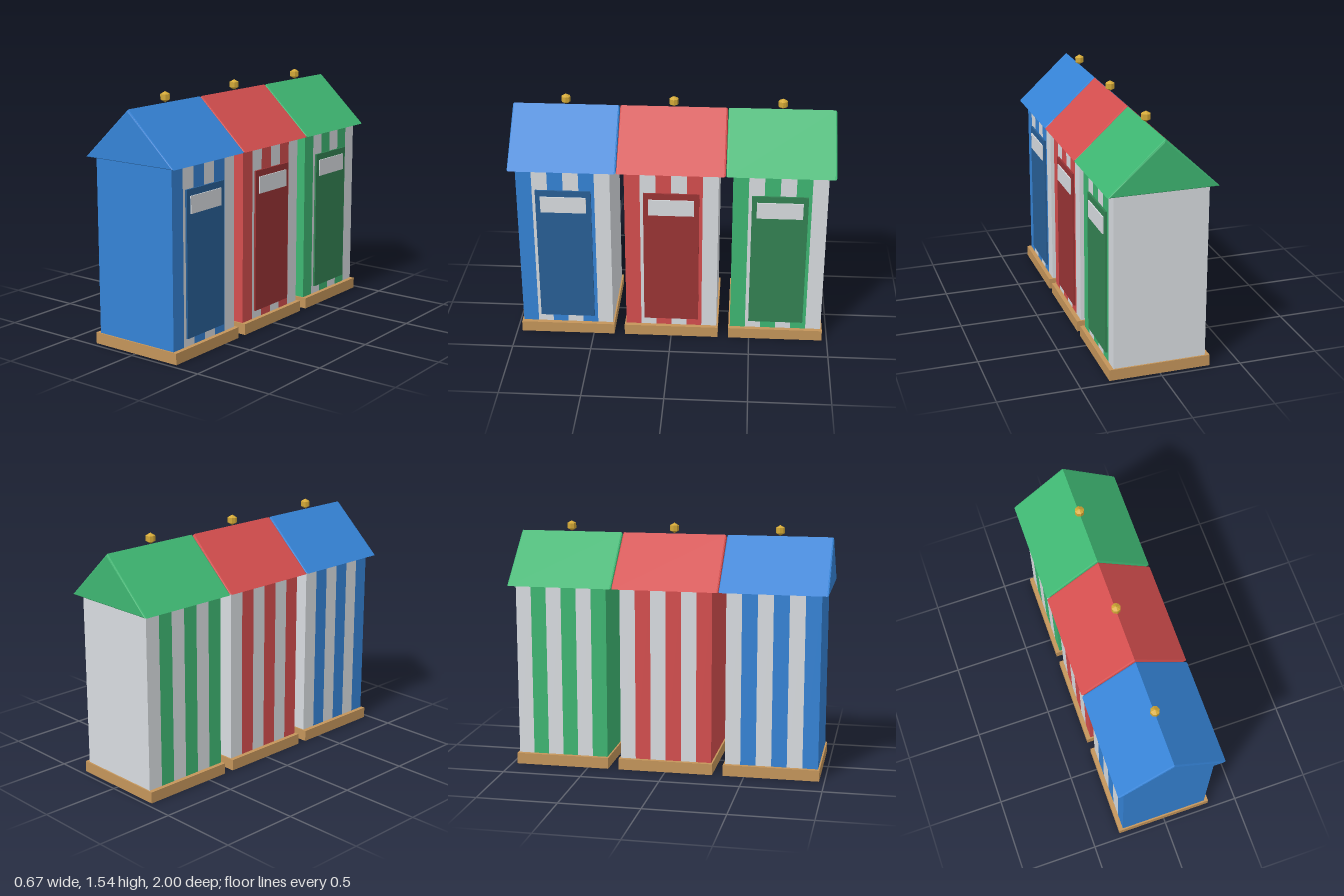
import * as THREE from 'three';

function material(name, color) {
  const m = new THREE.MeshStandardMaterial({ color });
  m.name = name;
  return m;
}

function addMesh(parent, name, geometry, mat, x = 0, y = 0, z = 0) {
  const mesh = new THREE.Mesh(geometry, mat);
  mesh.name = name;
  mesh.position.set(x, y, z);
  parent.add(mesh);
  return mesh;
}

// Solid gable roof with a small bevel, ridge running along z
function roofGeometry() {
  const bevel = 0.01, length = 0.664;
  const shape = new THREE.Shape();
  shape.moveTo(-0.322, 1.163);
  shape.lineTo(0.322, 1.163);
  shape.lineTo(0, 1.456);
  shape.closePath();
  const geometry = new THREE.ExtrudeGeometry(shape, {
    depth: length - 2 * bevel, bevelEnabled: true,
    bevelSize: bevel, bevelThickness: bevel, bevelSegments: 2,
  });
  return geometry.translate(0, 0, -length / 2 + bevel);
}

export function createModel() {
  const group = new THREE.Group();
  group.name = 'beachHuts';

  const white = material('white paint', 0xd8dce0);
  const wood = material('wood', 0xc4955a);
  const gold = material('gold', 0xd4a937);
  const huts = [
    { name: 'blue', z: 0.667, paint: 0x3583d6, door: 0x285f96 },
    { name: 'red', z: 0, paint: 0xd44e4e, door: 0x9a3435 },
    { name: 'green', z: -0.667, paint: 0x3eb672, door: 0x338253 },
  ];

  // Shared geometry
  const stripes = 6, stripeWidth = 0.58 / stripes;
  const base = new THREE.BoxGeometry(0.63, 0.07, 0.6);
  const plank = new THREE.BoxGeometry(0.575, 1.095, stripeWidth);
  const door = new THREE.BoxGeometry(0.02, 0.895, 0.345);
  const panel = new THREE.BoxGeometry(0.009, 0.106, 0.284);
  const roof = roofGeometry();
  const ball = new THREE.SphereGeometry(0.033, 8, 3).toNonIndexed();
  ball.computeVertexNormals();

  for (const { name, z, paint, door: doorColor } of huts) {
    const hut = new THREE.Group();
    hut.name = name + 'Hut';
    hut.position.z = z;
    group.add(hut);
    const paintMat = material(name + ' paint', paint);
    const doorMat = material(name + ' door paint', doorColor);

    addMesh(hut, 'base', base, wood, 0, 0.035, 0);

    // Striped walls, painted stripe first at the front
    for (let i = 0; i < stripes; i++) {
      addMesh(hut, 'wallStripe', plank, i % 2 ? white : paintMat,
        0, 0.6175, 0.29 - stripeWidth * (i + 0.5));
    }

    // Door and its light panel
    addMesh(hut, 'door', door, doorMat, 0.29, 0.5675, 0);
    addMesh(hut, 'doorPanel', panel, white, 0.3025, 0.922, 0);

    addMesh(hut, 'roof', roof, paintMat);
    addMesh(hut, 'finial', ball, gold, 0, 1.505, 0);
  }
  return group;
}
